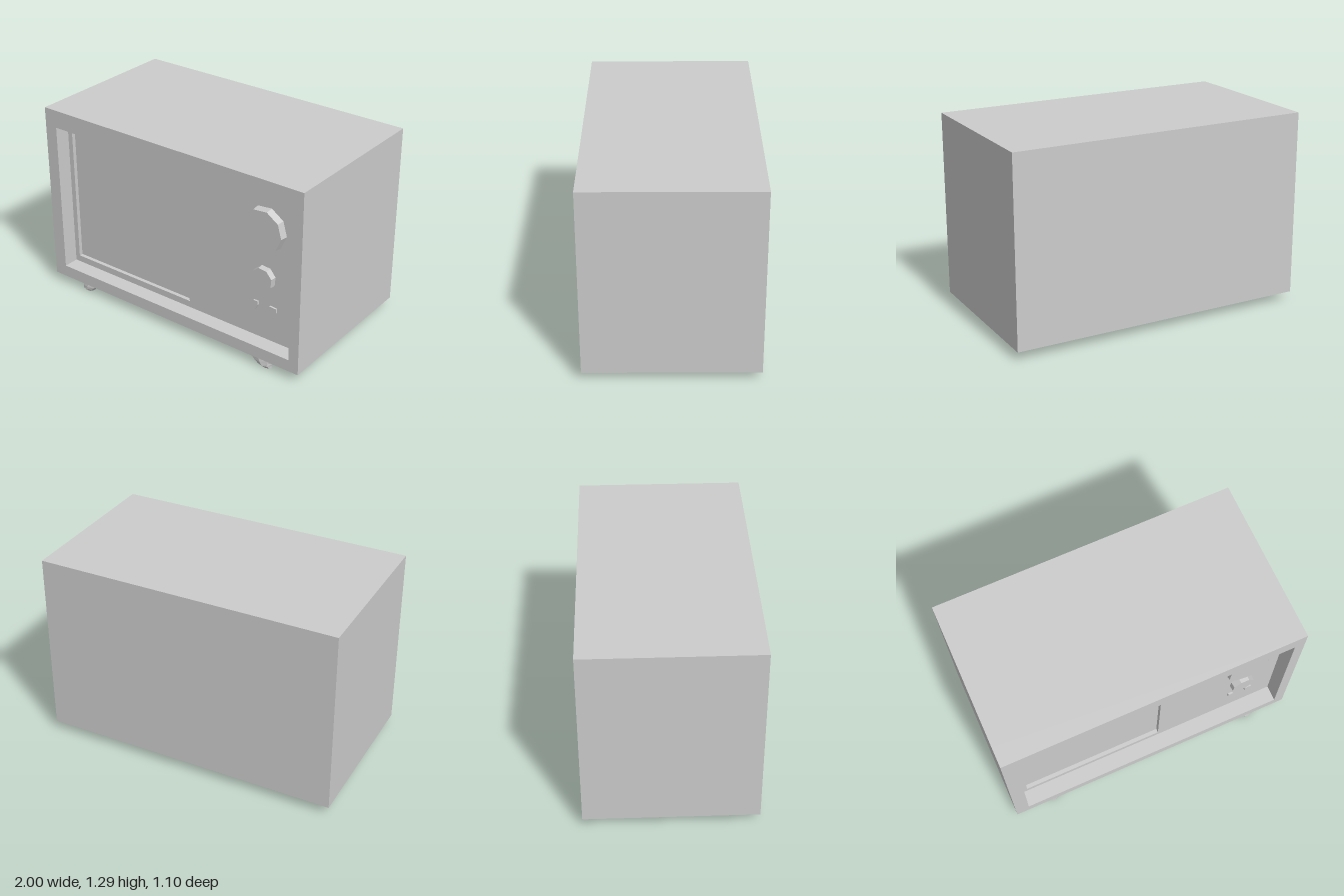
import * as THREE from 'three';

const material = new THREE.MeshStandardMaterial({ color: 0xcccccc, flatShading: true });

function add(group, name, geometry, x = 0, y = 0, z = 0) {
  const mesh = new THREE.Mesh(geometry, material);
  mesh.name = name;
  mesh.position.set(x, y, z);
  group.add(mesh);
  return mesh;
}

const shapeOf = (points) => new THREE.Shape(points.map(([x, y]) => new THREE.Vector2(x, y)));
const rect = (x0, y0, x1, y1) => [[x0, y0], [x1, y0], [x1, y1], [x0, y1]];
const slab = (shape, depth) => new THREE.ExtrudeGeometry(shape, { depth, bevelEnabled: false });

// Faceted dial: a low-poly cylinder pointing forward, slightly narrower in front
function dial(group, name, x, y, z, radius, sides, depth, turn) {
  const geometry = new THREE.CylinderGeometry(radius * 0.96, radius, depth, sides);
  geometry.rotateY(turn).rotateX(Math.PI / 2);
  add(group, name, geometry, x, y, z + depth / 2);
}

// Stubby foot: stacked horizontal rings [y, x centre, x radius, z radius]
function foot(group, name, rings, z) {
  const sides = 8, positions = [], index = [];
  for (const [y, cx, rx, rz] of rings) {
    for (let i = 0; i < sides; i++) {
      const a = (i / sides) * Math.PI * 2;
      positions.push(cx + rx * Math.cos(a), y, z + rz * Math.sin(a));
    }
  }
  for (let r = 0; r < rings.length - 1; r++) {
    for (let i = 0; i < sides; i++) {
      const j = (i + 1) % sides, a = r * sides, b = a + sides;
      index.push(a + i, b + i, a + j, a + j, b + i, b + j);
    }
  }
  for (let i = 1; i < sides - 1; i++) index.push(0, i, i + 1); // sole
  const geometry = new THREE.BufferGeometry();
  geometry.setAttribute('position', new THREE.Float32BufferAttribute(positions, 3));
  geometry.setIndex(index);
  geometry.computeVertexNormals();
  add(group, name, geometry);
}

export function createModel() {
  const group = new THREE.Group();
  group.name = 'television';
  const back = -0.55, front = 0.55, screenZ = 0.415, panelZ = 0.445;

  // Cabinet: solid rear body and a deep frame around the front recess
  add(group, 'cabinet', new THREE.BoxGeometry(2, 1.23, screenZ - back), 0, 0.675, (screenZ + back) / 2);
  const frame = shapeOf(rect(-1, 0.06, 1, 1.29));
  frame.holes.push(shapeOf(rect(-0.91, 0.14, 0.93, 1.17)));
  add(group, 'frontFrame', slab(frame, front - screenZ), 0, 0, screenZ);

  // Control panel wraps below and beside the sunken screen, which is open at the top
  const panel = shapeOf([
    [-0.91, 0.14], [0.93, 0.14], [0.93, 1.17], [0.09, 1.17],
    [0.09, 0.185], [-0.875, 0.185], [-0.875, 1.17], [-0.91, 1.17],
  ]);
  add(group, 'controlPanel', slab(panel, panelZ - screenZ), 0, 0, screenZ);
  add(group, 'screen', slab(shapeOf(rect(-0.875, 0.185, 0.09, 1.17)), 0.004), 0, 0, screenZ);

  // Dials
  dial(group, 'largeDial', 0.677, 0.915, panelZ, 0.147, 9, 0.05, 0.1);
  dial(group, 'smallDial', 0.675, 0.58, panelZ, 0.08, 8, 0.04, 0.3);

  // Small buttons
  const leftButton = shapeOf([[0.615, 0.335], [0.633, 0.37], [0.632, 0.395], [0.6, 0.395], [0.597, 0.37]]);
  const rightButton = shapeOf([[0.722, 0.352], [0.745, 0.347], [0.77, 0.362], [0.768, 0.39], [0.717, 0.393]]);
  add(group, 'leftButton', slab(leftButton, 0.012), 0, 0, panelZ);
  add(group, 'rightButton', slab(rightButton, 0.012), 0, 0, panelZ);

  // Front feet
  foot(group, 'rightFoot', [[0.005, -0.73, 0.035, 0.022], [0.02, -0.727, 0.05, 0.035], [0.04, -0.717, 0.06, 0.035], [0.065, -0.713, 0.065, 0.03]], 0.515);
  foot(group, 'leftFoot', [[0, 0.75, 0.035, 0.022], [0.015, 0.735, 0.05, 0.035], [0.035, 0.72, 0.07, 0.035], [0.065, 0.703, 0.095, 0.03]], 0.515);

  return group;
}
